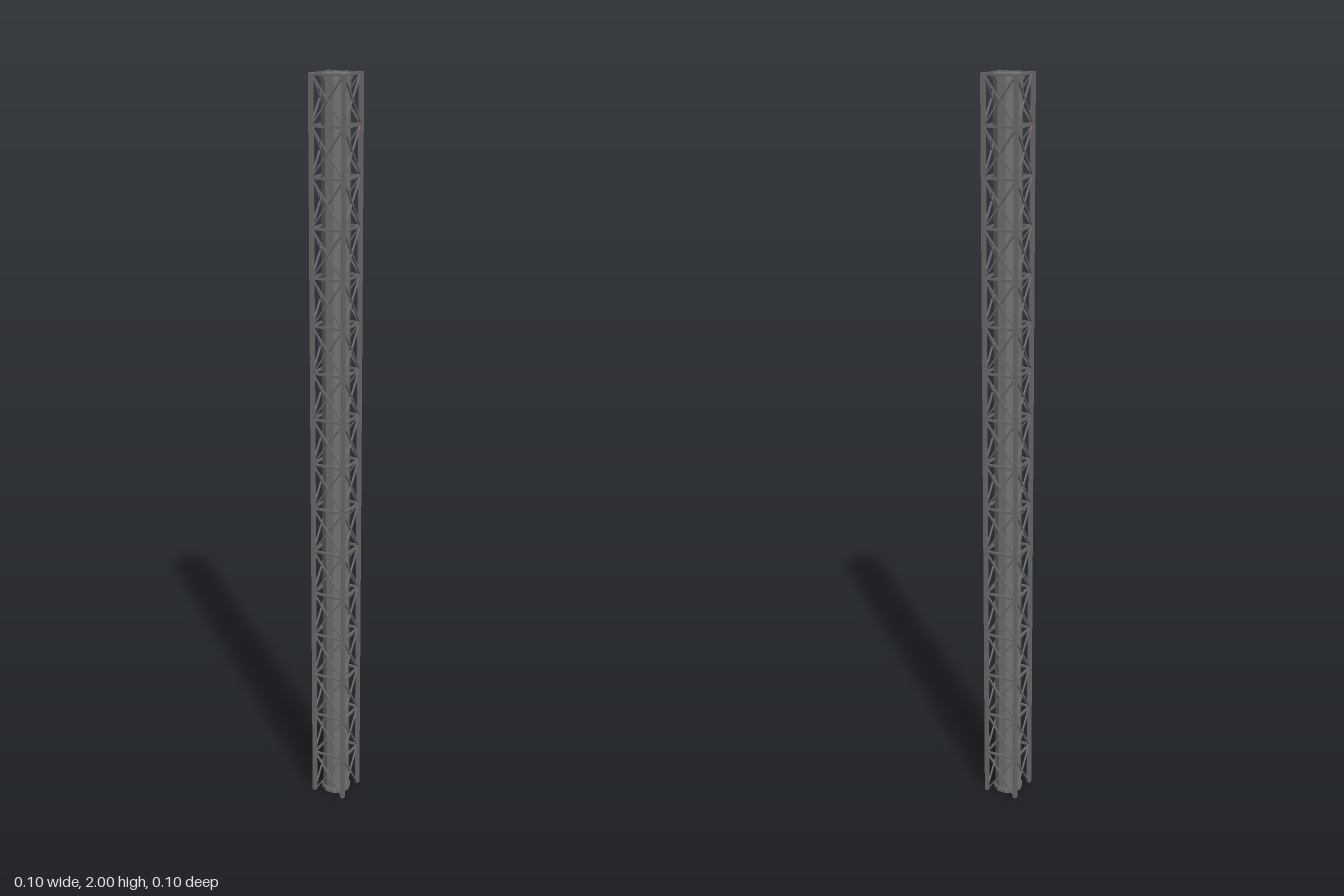
import * as THREE from 'three';

const HEIGHT = 2, BAYS = 16, BAY = HEIGHT / BAYS, HALF = 0.045;

export function createModel() {
  const model = new THREE.Group();
  model.name = 'latticeTower';
  const frameGrey = new THREE.MeshStandardMaterial({ color: 0x6b6b6b });
  frameGrey.name = 'frame grey';
  const pipeGrey = new THREE.MeshStandardMaterial({ color: 0x707070, flatShading: true });
  pipeGrey.name = 'pipe grey';

  const add = (parent, name, geometry, material, x, y, z) => {
    const mesh = new THREE.Mesh(geometry, material);
    mesh.name = name;
    mesh.position.set(x, y, z);
    parent.add(mesh);
    return mesh;
  };

  // Four corner legs
  const legGeometry = new THREE.BoxGeometry(0.01, HEIGHT, 0.01);
  for (const x of [-HALF, HALF])
    for (const z of [-HALF, HALF]) add(model, 'cornerLeg', legGeometry, frameGrey, x, HEIGHT / 2, z);

  // Horizontal bars and crossed braces, repeated on all four faces
  const barGeometry = new THREE.BoxGeometry(2 * HALF, 0.006, 0.005);
  const braceGeometry = new THREE.BoxGeometry(0.004, Math.hypot(2 * HALF, BAY), 0.004);
  const lean = Math.atan2(2 * HALF, BAY);
  for (let side = 0; side < 4; side++) {
    const face = new THREE.Group();
    face.name = 'latticeFace';
    face.rotation.y = side * Math.PI / 2;
    for (let i = 0; i < BAYS; i++) {
      const top = Math.min((i + 1) * BAY, HEIGHT - 0.003);
      add(face, 'crossBar', barGeometry, frameGrey, 0, top, HALF);
      for (const s of [-1, 1]) {
        const brace = add(face, 'diagonalBrace', braceGeometry, frameGrey, 0, (i + 0.5) * BAY, HALF + s * 0.0005);
        brace.rotation.z = s * lean;
      }
    }
    model.add(face);
  }

  // Ten-sided central pipe with a slim collar at each end
  const cylinder = (r, h) => new THREE.CylinderGeometry(r, r, h, 10).rotateY(Math.PI / 2);
  add(model, 'centralPipe', cylinder(0.037, HEIGHT - 0.002), pipeGrey, 0, HEIGHT / 2, 0);
  const collar = cylinder(0.041, 0.012);
  add(model, 'bottomCollar', collar, pipeGrey, 0, 0.006, 0);
  add(model, 'topCollar', collar, pipeGrey, 0, HEIGHT - 0.01, 0);

  return model;
}
